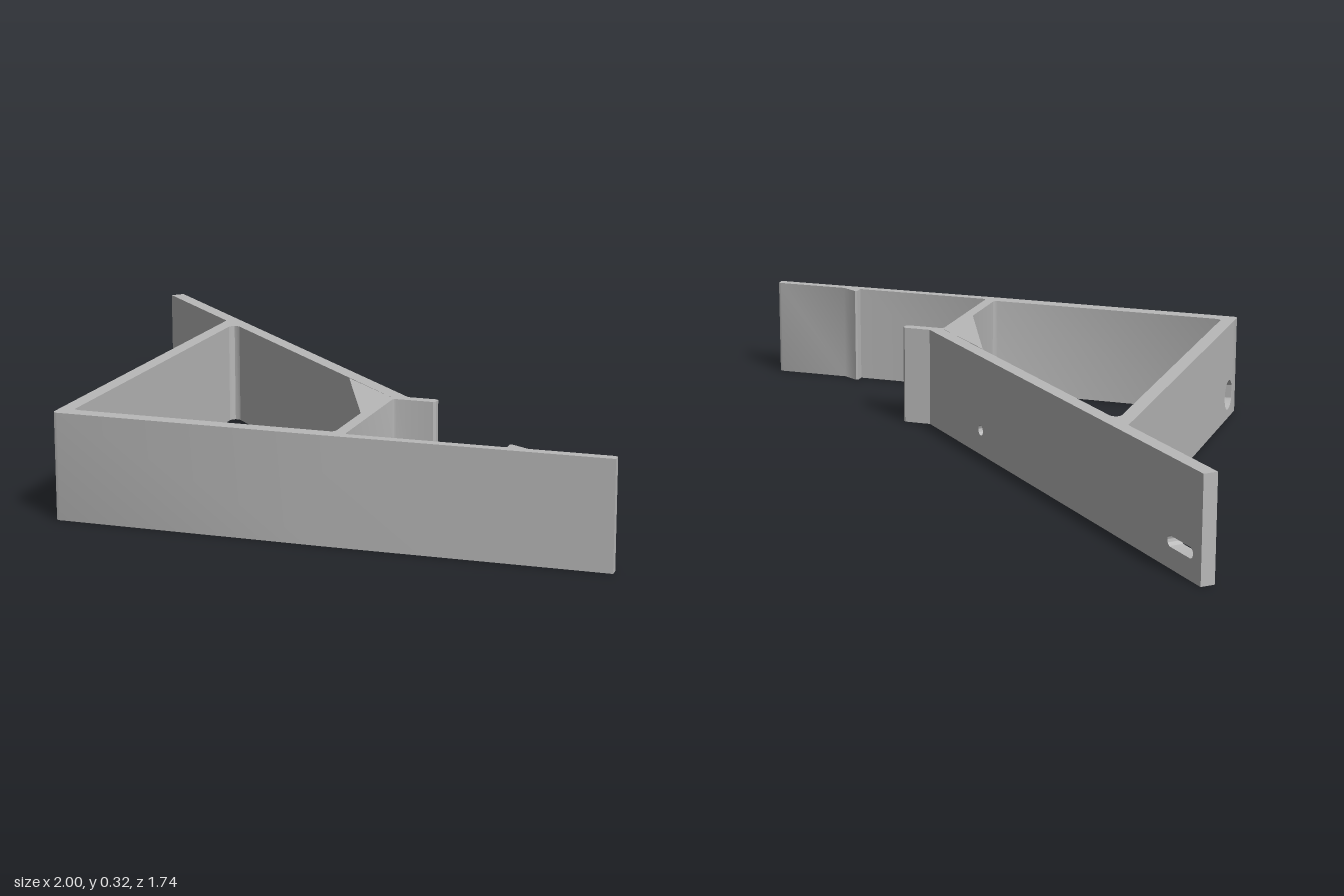
import * as THREE from 'three';
import { toCreasedNormals } from 'three/addons/utils/BufferGeometryUtils.js';

const HEIGHT = 0.322;

export function createModel() {
  const group = new THREE.Group();
  const grey = new THREE.MeshStandardMaterial({ color: 0xb8b8b8 });
  grey.name = 'grey plastic';

  function add(name, shape, depth) {
    const geo = new THREE.ExtrudeGeometry(shape, { depth, bevelEnabled: false, curveSegments: 14 });
    const mesh = new THREE.Mesh(toCreasedNormals(geo, 0.6), grey);
    mesh.name = name;
    group.add(mesh);
    return mesh;
  }

  // Floor-plan outline given as [x, z], raised to the full height
  function upright(name, plan) {
    const shape = new THREE.Shape(plan.map(([x, z]) => new THREE.Vector2(x, -z)));
    add(name, shape, HEIGHT).rotation.x = -Math.PI / 2;
  }

  // Standing plate with rounded slots [centre, y, radius, straight length]
  function plate(name, length, thickness, slots, x, z, angle) {
    const shape = new THREE.Shape();
    shape.moveTo(0, 0).lineTo(length, 0).lineTo(length, HEIGHT).lineTo(0, HEIGHT).closePath();
    for (const [c, y, r, len] of slots) {
      const hole = new THREE.Path();
      hole.absarc(c + len / 2, y, r, -Math.PI / 2, Math.PI / 2, false);
      hole.absarc(c - len / 2, y, r, Math.PI / 2, Math.PI * 1.5, false);
      shape.holes.push(hole);
    }
    const mesh = add(name, shape, thickness);
    mesh.position.set(x, 0, z);
    mesh.rotation.y = angle;
  }

  // Diagonal arm with a screw slot and a small pin hole
  plate('diagonalArm', 1.74, 0.045,
    [[0.113, 0.08, 0.0165, 0.105], [1.358, 0.08, 0.0165, 0]], -0.97, -0.87, -Math.PI / 4);

  // Side wall with a round access hole
  plate('sideWall', 1.2, 0.045, [[1.155, 0.08, 0.05, 0]], -0.61, -0.4, -Math.PI / 2);

  // Filleted joint between side wall and diagonal arm
  upright('wallJoint', [
    [-0.655, -0.493], [-0.655, -0.4], [-0.61, -0.4], [-0.606, -0.412],
    [-0.597, -0.419], [-0.586, -0.418], [-0.575, -0.413],
  ]);

  // Gusset, short post and outer lip
  upright('gussetPostAndLip', [
    [0.015, 0.182], [0.228, 0.392], [0.26, 0.36], [0.348, 0.36], [0.355, 0.367],
    [0.355, 0.388], [0.348, 0.395], [0.235, 0.395], [0.228, 0.398], [0.225, 0.405],
    [0.225, 0.8], [0.19, 0.8], [0.19, 0.59],
  ]);

  // Front bar with filleted corners, tapering to a tongue with a catch
  upright('frontBarAndTongue', [
    [-0.655, 0.8], [-0.61, 0.8], [-0.606, 0.811], [-0.595, 0.816],
    [0.178, 0.816], [0.187, 0.811], [0.19, 0.8], [0.225, 0.8],
    [0.225, 0.82], [0.228, 0.828], [0.236, 0.831], [0.69, 0.827],
    [0.69, 0.797], [0.697, 0.794], [0.75, 0.825], [0.99, 0.822],
    [1, 0.827], [1, 0.853], [0.17, 0.865], [-0.64, 0.865], [-0.651, 0.861], [-0.655, 0.85],
  ]);

  return group;
}
